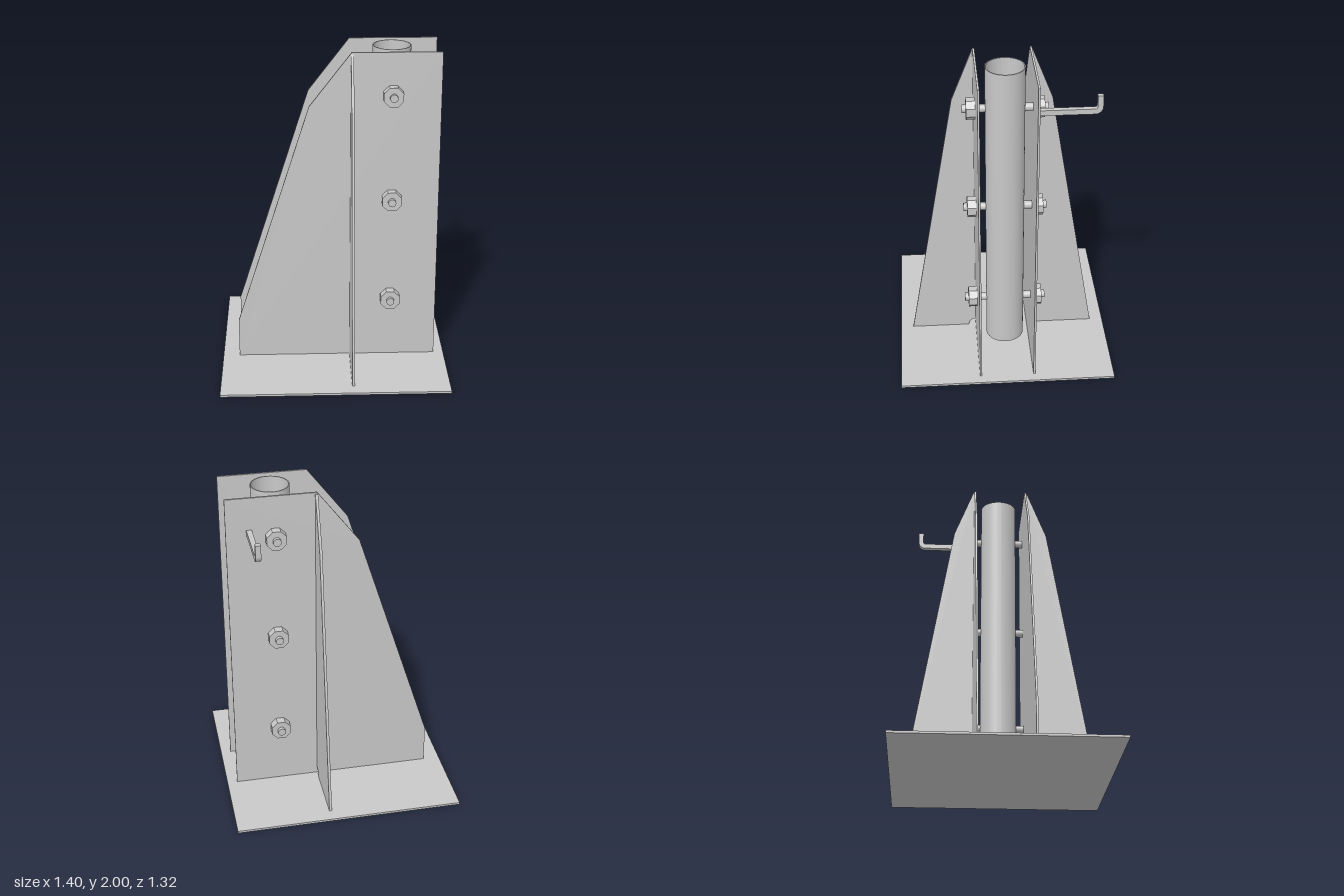
import * as THREE from 'three';
import { toCreasedNormals } from 'three/addons/utils/BufferGeometryUtils.js';

const steel = new THREE.MeshStandardMaterial({ color: 0xc8c8c8 });
steel.name = 'light grey steel';

const BASE = 0.014;      // base plate thickness
const INNER = 0.16;      // inner face of each upright plate
const OUTER = 0.172;     // outer face of each upright plate
const BOLT_X = 0.352;    // line of the pipe and bolts

function extrude(shape, depth, curveSegments = 8) {
  const g = new THREE.ExtrudeGeometry(shape, { depth, bevelEnabled: false, curveSegments });
  return toCreasedNormals(g, 0.5);
}

export function createModel() {
  const model = new THREE.Group();
  model.name = 'postBracket';
  const add = (name, geometry, x = 0, y = 0, z = 0) => {
    const mesh = new THREE.Mesh(geometry, steel);
    mesh.name = name;
    mesh.position.set(x, y, z);
    model.add(mesh);
    return mesh;
  };

  // Base plate
  add('basePlate', new THREE.BoxGeometry(1.405, BASE, 1.32), 0, BASE / 2, 0);

  // Two parallel upright plates with a sloping edge
  const plate = new THREE.Shape([
    [-0.6, BASE], [0.64, BASE], [0.64, 2], [0.105, 2], [-0.147, 1.672], [-0.6, 0.26],
  ].map(([x, y]) => new THREE.Vector2(x, y)));
  add('frontUpright', extrude(plate, OUTER - INNER), 0, 0, INNER);
  add('backUpright', extrude(plate, OUTER - INNER), 0, 0, -OUTER);

  // Tapered gussets with a rounded weld notch at the inner bottom corner
  const gusset = new THREE.Shape();
  gusset.moveTo(OUTER + 0.045, BASE);
  gusset.lineTo(0.58, BASE);
  gusset.lineTo(0.3, 1.672);
  gusset.lineTo(0.176, 1.99);
  gusset.lineTo(OUTER, 1.99);
  gusset.lineTo(OUTER, BASE + 0.045);
  gusset.absarc(OUTER, BASE, 0.045, Math.PI / 2, 0, true);
  add('frontGusset', extrude(gusset, 0.016).rotateY(-Math.PI / 2), 0.117, 0, 0);
  add('backGusset', extrude(gusset, 0.016).rotateY(Math.PI / 2), 0.101, 0, 0);

  // Hollow pipe held between the plates
  const ring = new THREE.Shape().absarc(0, 0, 0.115, 0, Math.PI * 2, false);
  ring.holes.push(new THREE.Path().absarc(0, 0, 0.109, 0, Math.PI * 2, true));
  add('pipe', extrude(ring, 1.86, 48).rotateX(-Math.PI / 2), BOLT_X, 0.14, 0);

  // Through bolts, each with an eight-sided nut at both ends
  const boltGeometry = new THREE.CylinderGeometry(0.024, 0.024, 0.494, 20).rotateX(Math.PI / 2);
  const nutGeometry = toCreasedNormals(
    new THREE.CylinderGeometry(0.0635, 0.0635, 0.053, 8).rotateY(Math.PI / 8).rotateX(Math.PI / 2), 0.3);
  for (const y of [0.415, 1.08, 1.74]) {
    add('bolt', boltGeometry, BOLT_X, y, 0);
    for (const side of [1, -1]) add('nut', nutGeometry, BOLT_X, y, side * (OUTER + 0.0265));
  }

  // Square-bar hook bent upwards behind the back plate
  const hook = new THREE.Shape();
  hook.moveTo(OUTER, 1.768);
  hook.lineTo(0.492, 1.768);
  hook.absarc(0.492, 1.813, 0.045, -Math.PI / 2, 0, false);
  hook.lineTo(0.537, 1.88);
  hook.lineTo(0.505, 1.88);
  hook.lineTo(0.505, 1.813);
  hook.absarc(0.492, 1.813, 0.013, 0, -Math.PI / 2, true);
  hook.lineTo(OUTER, 1.8);
  add('hook', extrude(hook, 0.032).rotateY(Math.PI / 2), 0.488, 0, 0);

  return model;
}
